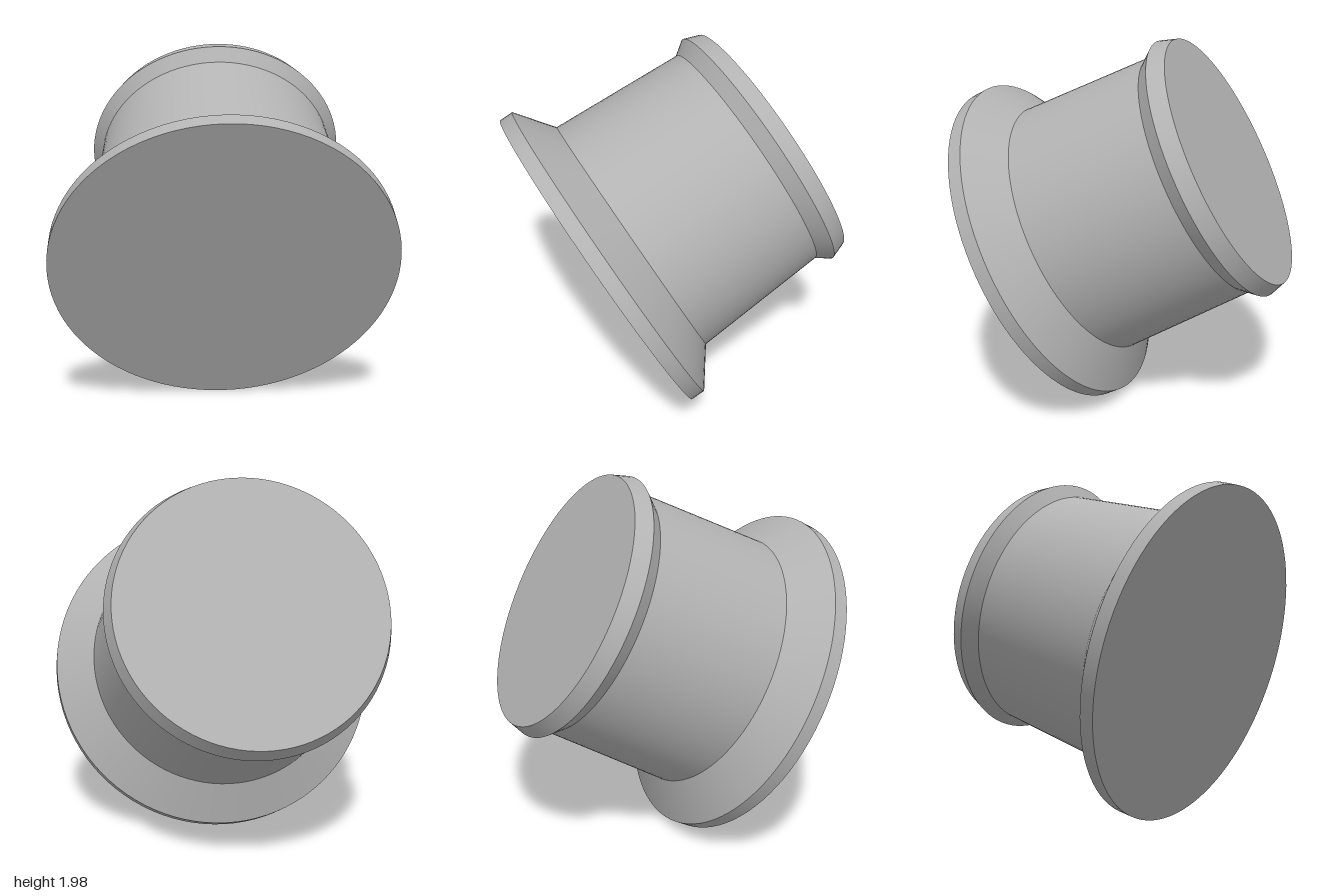
import * as THREE from 'three';

export function createModel() {
  const model = new THREE.Group();
  const grey = new THREE.MeshStandardMaterial({ color: 0xb3b3b3 });
  const segments = 96;

  const spool = new THREE.Group();
  spool.name = 'spool';

  // Coaxial bands: name, start and end along the axis, start and end radius
  const bands = [
    ['largeRim', 0, 0.078, 0.929, 0.929],
    ['largeFlangeSlope', 0.078, 0.23, 0.929, 0.727],
    ['barrel', 0.23, 0.995, 0.727, 0.68],
    ['smallFlangeSlope', 0.995, 1.072, 0.68, 0.735],
    ['smallRim', 1.072, 1.16, 0.735, 0.703],
  ];
  for (const [name, y0, y1, r0, r1] of bands) {
    const band = new THREE.Mesh(
      new THREE.CylinderGeometry(r1, r0, y1 - y0, segments, 1, true), grey);
    band.position.y = (y0 + y1) / 2;
    band.name = name;
    spool.add(band);
  }

  // Flat end faces
  const addCap = (name, radius, y, facing) => {
    const cap = new THREE.Mesh(new THREE.CircleGeometry(radius, segments), grey);
    cap.rotation.x = -facing * Math.PI / 2;
    cap.position.y = y;
    cap.name = name;
    spool.add(cap);
  };
  addCap('largeEndFace', 0.929, 0, -1);
  addCap('smallEndFace', 0.703, 1.16, 1);

  // Tilt the spool so its small end points up, left and back
  const axis = new THREE.Vector3(0.609, 0.463, -0.644).normalize();
  spool.quaternion.setFromUnitVectors(new THREE.Vector3(0, 1, 0), axis);
  spool.position.set(-0.265, 0.824, 0.287);
  model.add(spool);
  return model;
}
